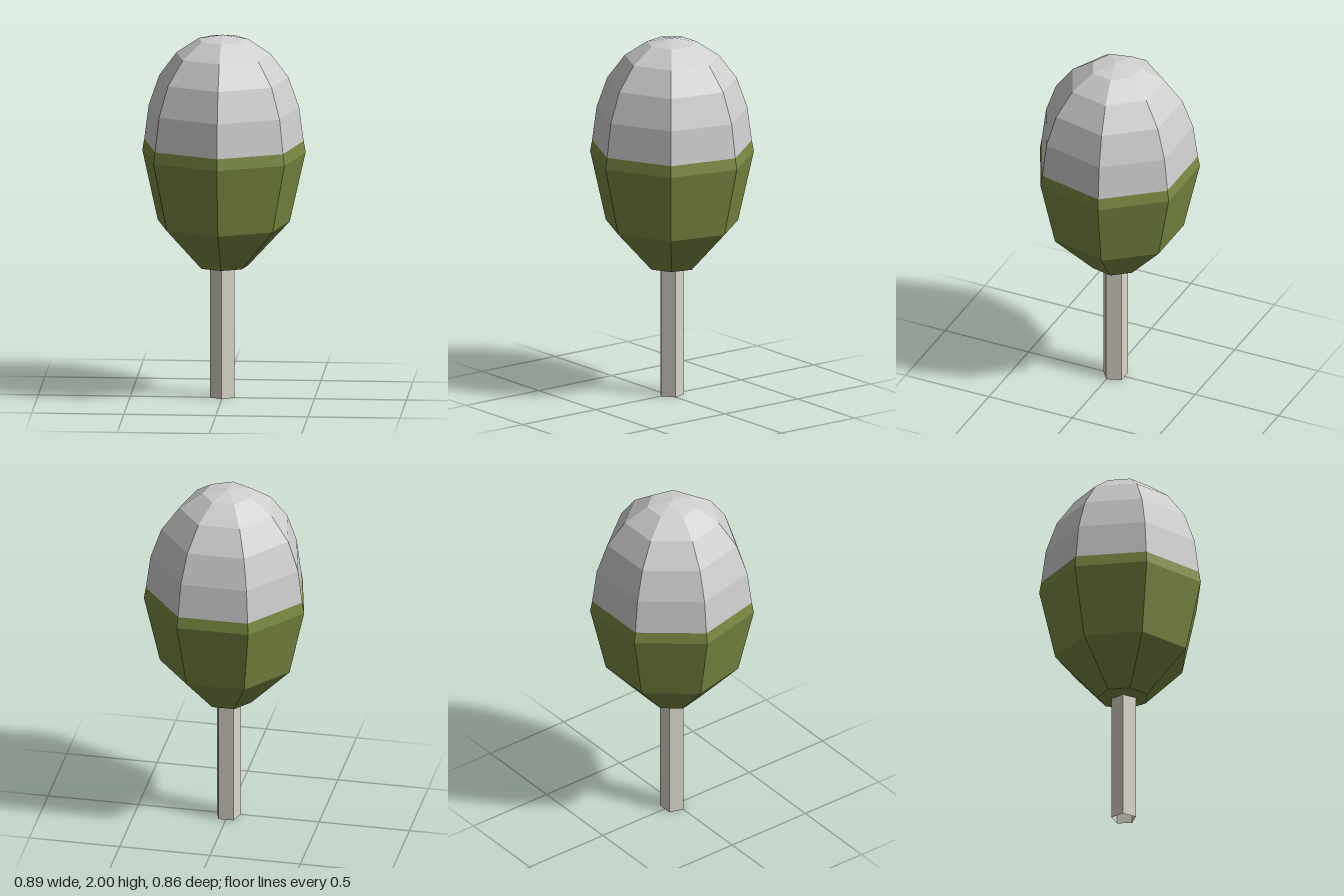
import * as THREE from 'three';

// Faceted turned shape from [radius, height] pairs, bottom to top
function faceted(profile, sides) {
  const points = profile.map(([r, y]) => new THREE.Vector2(r, y));
  const geometry = new THREE.LatheGeometry(points, sides).toNonIndexed();
  geometry.computeVertexNormals();
  return geometry;
}

export function createModel() {
  const leafGreen = new THREE.MeshStandardMaterial({ color: 0x7b8a43 });
  leafGreen.name = 'leafGreen';
  const snowGrey = new THREE.MeshStandardMaterial({ color: 0xcfcfcf });
  snowGrey.name = 'snowGrey';
  const paleBark = new THREE.MeshStandardMaterial({ color: 0xdad7ca, side: THREE.DoubleSide });
  paleBark.name = 'paleBark';

  const tree = new THREE.Group();
  tree.name = 'tree';
  const add = (name, profile, sides, material, z) => {
    const mesh = new THREE.Mesh(faceted(profile, sides), material);
    mesh.name = name;
    mesh.position.z = z;
    tree.add(mesh);
  };

  // Open five-sided trunk
  add('trunk', [[0.07, 0], [0.07, 0.75]], 5, paleBark, -0.02);

  // Seven-sided crown: green below, snow on top
  add('foliage', [[0, 0.7], [0.14, 0.722], [0.368, 0.957], [0.455, 1.337], [0.444, 1.4]], 7, leafGreen, -0.025);
  add('snowCap', [[0.444, 1.4], [0.419, 1.588], [0.36, 1.755], [0.262, 1.888], [0.138, 1.973], [0, 2]], 7, snowGrey, -0.025);

  return tree;
}
